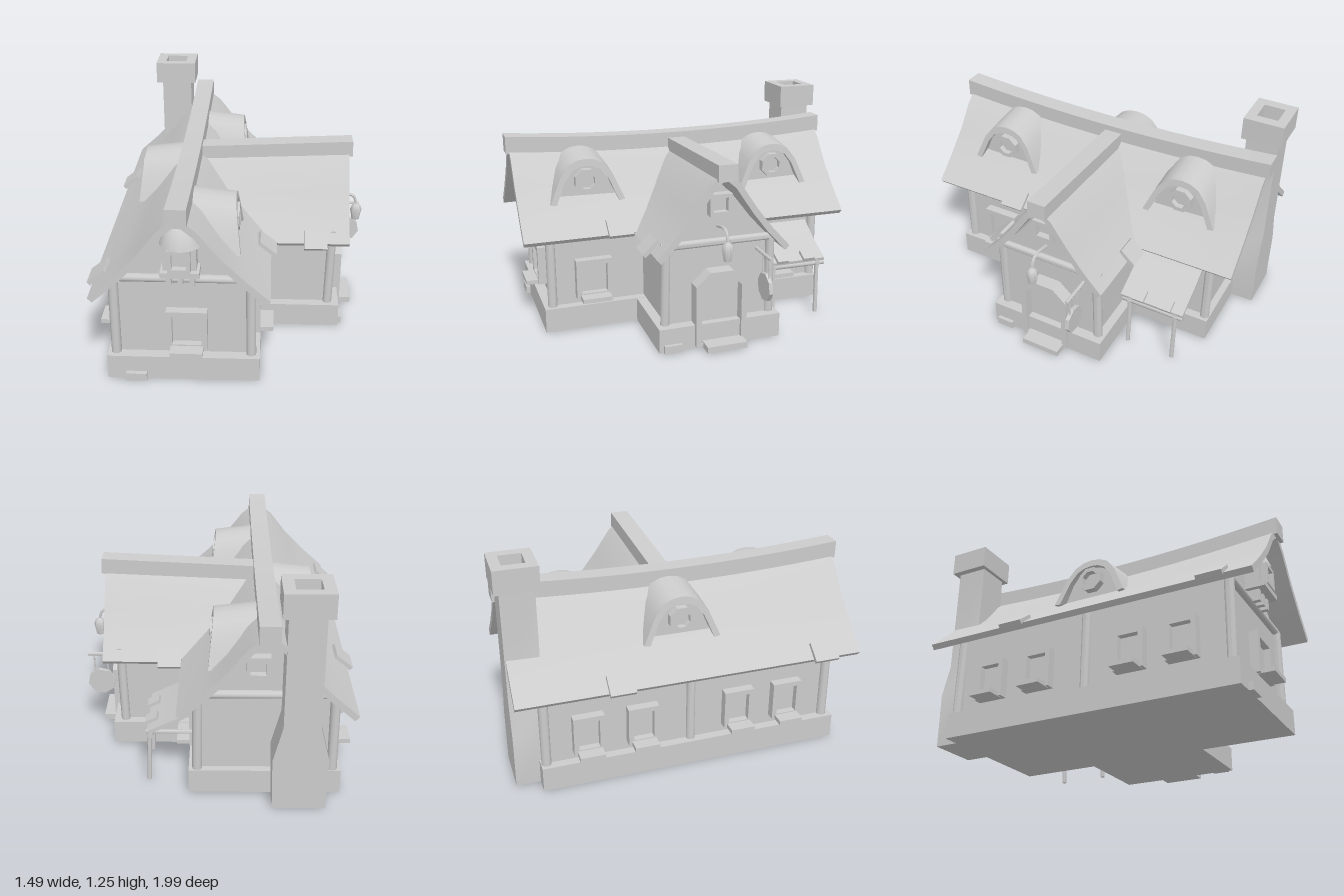
import * as THREE from 'three';
import { toCreasedNormals } from 'three/addons/utils/BufferGeometryUtils.js';

const V = (x, y, z) => new THREE.Vector3(x, y, z);
const mat = new THREE.MeshStandardMaterial({ color: 0xcccccc, side: THREE.DoubleSide });
const RX = -0.265; // x of the main ridge
const WZ = -0.03;  // z of the wing ridge

function add(parent, name, geo, pos = [0, 0, 0], rot = [0, 0, 0], crease = 0.6) {
  const m = new THREE.Mesh(toCreasedNormals(geo, crease), mat);
  m.name = name;
  m.position.set(...pos);
  m.rotation.set(...rot);
  parent.add(m);
  return m;
}
// Box from min/max ranges
function block(parent, name, [x0, x1], [y0, y1], [z0, z1]) {
  return add(parent, name, new THREE.BoxGeometry(x1 - x0, y1 - y0, z1 - z0),
    [(x0 + x1) / 2, (y0 + y1) / 2, (z0 + z1) / 2]);
}
// Round bar between two points
function rod(parent, name, a, b, r, sides = 10) {
  const m = add(parent, name, new THREE.CylinderGeometry(r, r, a.distanceTo(b), sides), [0, 0, 0], [0, 0, 0], 1);
  m.position.copy(a).lerp(b, 0.5);
  m.quaternion.setFromUnitVectors(V(0, 1, 0), b.clone().sub(a).normalize());
}
function bend(geo, rule) {
  const p = geo.attributes.position;
  for (let i = 0; i < p.count; i++) {
    const v = rule(V(p.getX(i), p.getY(i), p.getZ(i)));
    p.setXYZ(i, v.x, v.y, v.z);
  }
  return geo;
}
const shape = pts => new THREE.Shape(pts.map(p => new THREE.Vector2(p[0], p[1])));
const extrude = (s, depth, steps = 1) => new THREE.ExtrudeGeometry(s, { depth, steps, bevelEnabled: false });
// Full symmetric outline from its right half, listed from edge to apex
const mirror = half => [...half, ...half.filter(p => p[0] > 0).reverse().map(([x, y]) => [-x, y])];
// Curved roof sheet with thickness
function roofGeo(half, length) {
  const top = mirror(half);
  const under = mirror(half.map(([x, y]) => [x > 0 ? x - 0.022 : 0, y - (x > 0 ? 0.025 : 0.04)]));
  return extrude(shape([...top, ...under.reverse()]), length, 16);
}
function ring(outer, inner, depth) {
  const s = shape(outer);
  s.holes.push(new THREE.Path(inner.map(p => new THREE.Vector2(p[0], p[1]))));
  return extrude(s, depth);
}
const rect = (w, h) => [[-w / 2, -h / 2], [w / 2, -h / 2], [w / 2, h / 2], [-w / 2, h / 2]];
const octagon = r => Array.from({ length: 8 }, (_, i) =>
  [r * Math.cos((i + 0.5) * Math.PI / 4), r * Math.sin((i + 0.5) * Math.PI / 4)]);

// Framed window facing local +z, with optional sill
function windowUnit(parent, pos, ry, w, h, border, sill) {
  const g = new THREE.Group();
  g.name = 'window';
  g.position.set(...pos);
  g.rotation.y = ry;
  add(g, 'windowFrame', ring(rect(w, h), rect(w - border * 2, h - border * 2), 0.05));
  add(g, 'windowPane', new THREE.BoxGeometry(w - border, h - border, 0.01), [0, 0, 0.008]);
  if (sill) add(g, 'windowSill', new THREE.BoxGeometry(w * 0.8, 0.025, 0.1), [0, -h / 2 + 0.01, 0.07]);
  parent.add(g);
}

// Eyebrow dormer; local z is the distance out from the ridge
function dormer(parent, z, ry) {
  const g = new THREE.Group();
  g.name = 'dormer';
  g.position.set(RX, 0, z);
  g.rotation.y = ry;
  const half = [[0.215, 0.72], [0.185, 0.79], [0.15, 0.87], [0.1, 0.935], [0.05, 0.96], [0, 0.967]];
  const inner = half.map(([x, y]) => [x * 0.84, 0.715 + (y - 0.72) * 0.86]);
  const hood = extrude(shape([...mirror(half), ...mirror(inner).reverse()]), 0.25, 6);
  bend(hood, v => V(v.x, v.y + 0.03 * (0.25 - v.z) / 0.25, 0.03 + v.z * (1.08 - (v.y - 0.72) * 0.45)));
  add(g, 'dormerHood', hood, [0, 0, 0], [0, 0, 0], 0.9);
  add(g, 'dormerWall', extrude(shape(mirror(inner)), 0.2), [0, 0, 0.05]);
  add(g, 'dormerWindowFrame', ring(octagon(0.073), octagon(0.048), 0.05), [0, 0.84, 0.24]);
  add(g, 'dormerPane', extrude(shape(octagon(0.05)), 0.01), [0, 0.84, 0.247]);
  parent.add(g);
}

export function createModel() {
  const house = new THREE.Group();
  house.name = 'cottage';
  const Q = Math.PI / 2;

  // Stone foundations
  block(house, 'mainFoundation', [-0.67, 0.14], [0, 0.14], [-0.84, 0.86]);
  block(house, 'wingFoundation', [0.1, 0.59], [0, 0.138], [-0.38, 0.325]);
  block(house, 'frontStone', [-0.57, -0.46], [0, 0.045], [0.8, 0.885]);
  block(house, 'wingStone', [0.5, 0.61], [0, 0.045], [0.2, 0.3]);
  block(house, 'doorStep', [0.55, 0.68], [0.005, 0.04], [-0.15, 0.08]);

  // Walls running up into the gables
  add(house, 'mainWalls', extrude(shape(mirror(
    [[0.355, 0.1], [0.355, 0.6], [0.2, 0.75], [0.1, 0.87], [0, 0.95]])), 1.6), [RX, 0, -0.8]);
  add(house, 'wingWalls', extrude(shape(mirror(
    [[0.3, 0.1], [0.3, 0.58], [0.18, 0.71], [0.08, 0.84], [0, 0.92]])), 0.53), [0, 0, WZ], [0, Q, 0]);

  // Sagging main roof and rising wing roof
  const sag = z => 0.04 * (z / 0.965) ** 2;
  const mainRoof = roofGeo([[0.457, 0.565], [0.33, 0.67], [0.2, 0.79], [0.1, 0.91], [0, 0.985]], 1.93);
  mainRoof.translate(0, 0, -0.965);
  bend(mainRoof, v => V(v.x, v.y + sag(v.z) * Math.max(0, (v.y - 0.56) / 0.42), v.z));
  add(house, 'mainRoof', mainRoof, [RX, 0, 0]);
  const wingRoof = roofGeo([[0.375, 0.555], [0.27, 0.66], [0.18, 0.765], [0.08, 0.9], [0, 0.96]], 0.83);
  bend(wingRoof, v => V(v.x, v.y + 0.04 * v.z / 0.83 * Math.max(0, (v.y - 0.56) / 0.4), v.z));
  add(house, 'wingRoof', wingRoof, [-0.2, 0, WZ], [0, Q, 0]);

  // Ridge beams
  add(house, 'mainRidge', bend(new THREE.BoxGeometry(0.105, 0.1, 1.97, 1, 1, 16),
    v => V(v.x, v.y + sag(v.z), v.z)), [RX, 0.983, 0]);
  add(house, 'wingRidge', new THREE.BoxGeometry(0.87, 0.09, 0.105), [0.215, 0.975, WZ - 0.005], [0, 0, 0.047]);

  // Corner posts and tie beams
  for (const z of [-0.81, 0.81]) {
    for (const s of [-1, 1])
      rod(house, 'mainPost', V(RX + s * 0.36, 0.13, z), V(RX + s * 0.355, 0.59, z), 0.027);
    rod(house, 'gableBeam', V(-0.66, 0.598, z), V(0.13, 0.598, z), 0.022);
  }
  rod(house, 'backPost', V(-0.625, 0.13, 0), V(-0.62, 0.59, 0), 0.025);
  for (const s of [-1, 1])
    rod(house, 'wingPost', V(0.525, 0.13, WZ + s * 0.305), V(0.535, 0.58, WZ + s * 0.3), 0.026);
  rod(house, 'wingBeam', V(0.54, 0.59, -0.36), V(0.54, 0.59, 0.3), 0.022);

  // Windows
  windowUnit(house, [-0.243, 0.3, 0.8], 0, 0.215, 0.23, 0.03, true);
  for (const z of [-0.565, 0.57]) windowUnit(house, [0.09, 0.295, z], Q, 0.21, 0.23, 0.03, true);
  for (const z of [-0.58, -0.28, 0.27, 0.56]) windowUnit(house, [-0.62, 0.3, z], -Q, 0.17, 0.22, 0.028, true);
  windowUnit(house, [0.53, 0.805, WZ + 0.005], Q, 0.125, 0.12, 0.022, false);
  windowUnit(house, [-0.22, 0.77, -0.8], Math.PI, 0.125, 0.12, 0.022, false);

  // Hooded bay under the front gable
  block(house, 'bayBody', [-0.35, -0.18], [0.67, 0.82], [0.79, 0.88]);
  block(house, 'bayLedge', [-0.363, -0.165], [0.655, 0.685], [0.79, 0.91]);
  windowUnit(house, [-0.265, 0.75, 0.865], 0, 0.115, 0.125, 0.02, false);
  for (const x of [-0.325, -0.265, -0.205]) block(house, 'bayBracket', [x - 0.013, x + 0.013], [0.59, 0.66], [0.8, 0.87]);
  const hood = new THREE.LatheGeometry([[0.112, 0], [0.105, 0.02], [0.085, 0.07], [0.05, 0.105], [0, 0.12]]
    .map(p => new THREE.Vector2(...p)), 14);
  add(house, 'bayHood', hood, [-0.26, 0.81, 0.81], [0, 0, 0], 1);

  // Dormers
  dormer(house, 0.57, Q);
  dormer(house, -0.57, Q);
  dormer(house, WZ, -Q);

  // Arched door
  const arch = (w, h, c) => [[-w, 0], [w, 0], [w, h - c], [w * 0.45, h], [-w * 0.45, h], [-w, h - c]];
  add(house, 'doorFrame', ring(arch(0.147, 0.425, 0.075),
    arch(0.115, 0.375, 0.055).map(([x, y]) => [x, y + 0.018]), 0.08), [0.53, 0.015, -0.025], [0, Q, 0]);
  add(house, 'door', extrude(shape(arch(0.12, 0.385, 0.06)), 0.02), [0.53, 0.02, -0.025], [0, Q, 0]);

  // Chimney with a hollow cap
  add(house, 'chimney', extrude(shape(mirror(
    [[0.14, 0], [0.145, 0.3], [0.095, 0.5], [0.092, 1.14], [0, 1.14]])), 0.18), [-0.44, 0, -0.972]);
  add(house, 'chimneyCap', ring(rect(0.25, 0.23), rect(0.13, 0.12), 0.13), [-0.443, 1.12, -0.885], [-Q, 0, 0]);

  // Lean-to canopy beside the wing
  add(house, 'canopy', extrude(shape([[0.08, 0.5], [0.2, 0.42], [0.36, 0.34], [0.355, 0.32], [0.2, 0.395], [0.08, 0.475]]),
    0.38), [0, 0, -0.77]);
  rod(house, 'canopyRail', V(0.345, 0.31, -0.77), V(0.345, 0.31, -0.4), 0.017, 8);
  for (const z of [-0.725, -0.445]) {
    rod(house, 'canopyPost', V(0.36, 0, z), V(0.35, 0.33, z), 0.013, 8);
    rod(house, 'canopyBrace', V(0.09, 0.31, z), V(0.37, 0.31, z), 0.012, 8);
  }
  for (const z of [-0.665, -0.5]) add(house, 'canopyTile', new THREE.BoxGeometry(0.07, 0.02, 0.07), [0.34, 0.36, z], [0, 0, -0.46]);

  // Loose roof tiles
  const tile = (x, y, z, rot) => add(house, 'roofTile', new THREE.BoxGeometry(0.115, 0.025, 0.14), [x, y, z], rot);
  tile(0.17, 0.595, 0.425, [0, 0, -0.68]);
  for (const z of [-0.41, 0.75]) tile(-0.7, 0.595, z, [0, 0, 0.68]);
  const sideTile = (x, z, tilt) => add(house, 'roofTile', new THREE.BoxGeometry(0.13, 0.025, 0.11), [x, 0.575, z], [tilt, 0, 0]);
  sideTile(0.44, 0.34, 0.75);
  sideTile(0.255, -0.4, -0.75);

  // Lantern on a curved hook
  const hook = new THREE.CatmullRomCurve3([V(0.54, 0.68, -0.02), V(0.63, 0.695, -0.02), V(0.675, 0.68, -0.02), V(0.692, 0.63, -0.02)]);
  add(house, 'lanternHook', new THREE.TubeGeometry(hook, 14, 0.009, 6), [0, 0, 0], [0, 0, 0], 1);
  add(house, 'lantern', new THREE.LatheGeometry([[0, 0], [0.022, 0.002], [0.034, 0.065], [0.025, 0.09], [0.01, 0.105], [0, 0.105]]
    .map(p => new THREE.Vector2(...p)), 8), [0.692, 0.532, -0.02]);

  // Hanging sign
  rod(house, 'signArm', V(0.53, 0.522, -0.255), V(0.735, 0.522, -0.255), 0.01, 8);
  for (const x of [0.625, 0.7]) rod(house, 'signHanger', V(x, 0.52, -0.255), V(x, 0.4, -0.255), 0.005, 6);
  add(house, 'signBoard', extrude(shape(octagon(0.08)), 0.022), [0.663, 0.345, -0.266], [0, 0, 0.2]);

  return house;
}
